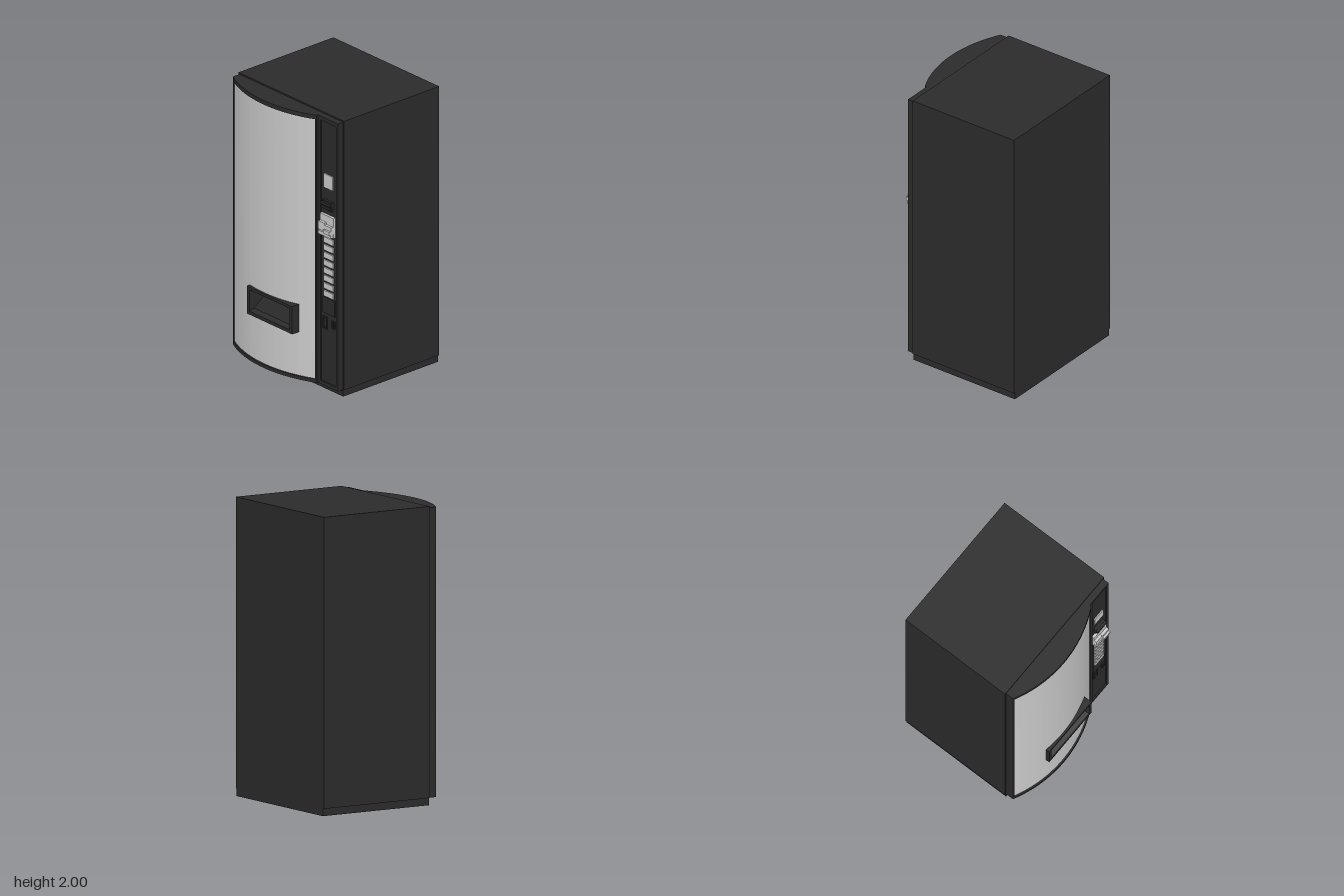
import * as THREE from 'three';
import { toCreasedNormals } from 'three/addons/utils/BufferGeometryUtils.js';

const dark = new THREE.MeshStandardMaterial({ color: 0x2b2b2b });
const grey = new THREE.MeshStandardMaterial({ color: 0xcccccc });
const chuteMat = new THREE.MeshStandardMaterial({ color: 0x2b2b2b, flatShading: true, side: THREE.DoubleSide });

export function createModel() {
  const root = new THREE.Group();
  root.name = 'vendingMachine';

  const add = (name, geometry, material, parent = root) => {
    const mesh = new THREE.Mesh(geometry, material);
    mesh.name = name;
    parent.add(mesh);
    return mesh;
  };
  const group = (name) => {
    const g = new THREE.Group();
    g.name = name;
    root.add(g);
    return g;
  };
  // Box given by its limits on each axis
  const box = (name, [x0, x1], [y0, y1], [z0, z1], material = dark, parent = root) => {
    const g = new THREE.BoxGeometry(x1 - x0, y1 - y0, z1 - z0);
    g.translate((x0 + x1) / 2, (y0 + y1) / 2, (z0 + z1) / 2);
    return add(name, g, material, parent);
  };
  // Rectangular frame with a rectangular opening
  const frame = (name, [x0, x1], [y0, y1], [z0, z1], [l, r, b, t], parent = root, material = dark) => {
    const rect = (C, a, c, d, e) => {
      const p = new C();
      p.moveTo(a, d); p.lineTo(c, d); p.lineTo(c, e); p.lineTo(a, e); p.closePath();
      return p;
    };
    const shape = rect(THREE.Shape, x0, x1, y0, y1);
    shape.holes.push(rect(THREE.Path, x0 + l, x1 - r, y0 + b, y1 - t));
    const g = new THREE.ExtrudeGeometry(shape, { depth: z1 - z0, bevelEnabled: false });
    return add(name, g.translate(0, 0, z0), material, parent);
  };
  // Bowed front: circular arc in plan, peaking at x = -0.1
  const bow = (x) => -0.4 + Math.sqrt(0.81 - (x + 0.1) ** 2);
  const bowedSlab = (name, [x0, x1], [y0, y1], inset, material, parent) => {
    const shape = new THREE.Shape();
    const n = Math.max(2, Math.round((x1 - x0) / 0.035));
    shape.moveTo(x0, -0.38);
    for (let i = 0; i <= n; i++) {
      const x = x0 + (x1 - x0) * i / n;
      shape.lineTo(x, -(bow(x) - inset));
    }
    shape.lineTo(x1, -0.38);
    shape.closePath();
    const g = new THREE.ExtrudeGeometry(shape, { depth: y1 - y0, bevelEnabled: false });
    g.rotateX(-Math.PI / 2).translate(0, y0, 0);
    return add(name, toCreasedNormals(g, 0.4), material, parent);
  };

  // Cabinet and plinth
  box('cabinet', [-0.525, 0.525], [0.05, 2], [-0.5, 0.34]);
  box('plinth', [-0.515, 0.515], [0, 0.05], [-0.5, 0.34]);

  // Door: backing plate, bowed caps and edge posts
  const door = group('door');
  box('doorPlate', [-0.515, 0.515], [0.05, 1.99], [0.34, 0.377], dark, door);
  box('doorBacking', [-0.515, 0.33], [0.05, 1.99], [0.377, 0.385], dark, door);
  bowedSlab('topCap', [-0.515, 0.315], [1.96, 1.99], 0, dark, door);
  bowedSlab('bottomCap', [-0.515, 0.315], [0.05, 0.075], 0, dark, door);
  bowedSlab('leftPost', [-0.515, -0.505], [0.075, 1.96], 0, dark, door);
  bowedSlab('rightPost', [0.305, 0.315], [0.075, 1.96], 0, dark, door);

  // Bowed front panel, divided around the delivery opening
  const panel = group('frontPanel');
  const holeX = [-0.25, 0.18], holeY = [0.4, 0.58];
  bowedSlab('panelLeft', [-0.505, holeX[0]], [0.075, 1.96], 0.011, grey, panel);
  bowedSlab('panelRight', [holeX[1], 0.305], [0.075, 1.96], 0.011, grey, panel);
  bowedSlab('panelAbove', holeX, [holeY[1], 1.96], 0.011, grey, panel);
  bowedSlab('panelBelow', holeX, [0.075, holeY[0]], 0.011, grey, panel);

  // Delivery opening: frame and tapering chute
  const delivery = group('deliveryOpening');
  frame('deliveryFrame', [-0.26, 0.19], [0.39, 0.59], [0.43, 0.502], [0.025, 0.025, 0.025, 0.02], delivery);
  const front = [[-0.235, 0.415, 0.495], [0.165, 0.415, 0.495], [0.165, 0.57, 0.495], [-0.235, 0.57, 0.495]];
  const back = [[-0.23, 0.428, 0.465], [0.16, 0.428, 0.465], [0.1, 0.563, 0.395], [-0.165, 0.563, 0.395]];
  const points = [];
  const quad = (a, b, c, d) => points.push(...a, ...b, ...c, ...a, ...c, ...d);
  for (let i = 0; i < 4; i++) {
    const j = (i + 1) % 4;
    quad(front[i], front[j], back[j], back[i]);
  }
  quad(...back);
  const chute = new THREE.BufferGeometry();
  chute.setAttribute('position', new THREE.Float32BufferAttribute(points, 3));
  chute.computeVertexNormals();
  add('deliveryChute', chute, chuteMat, delivery);

  // Control column
  const controls = group('controlColumn');
  frame('controlFrame', [0.315, 0.515], [0.05, 1.99], [0.377, 0.386], [0.028, 0.02, 0.025, 0.027], controls);
  box('display', [0.37, 0.46], [1.485, 1.585], [0.377, 0.385], grey, controls);

  // Card slot
  box('cardSlotBody', [0.37, 0.463], [1.335, 1.4], [0.377, 0.395], dark, controls);
  box('cardSlotUpperLip', [0.37, 0.463], [1.373, 1.392], [0.395, 0.412], dark, controls);
  box('cardSlotLowerLip', [0.375, 0.458], [1.345, 1.363], [0.395, 0.406], dark, controls);

  // Banknote reader
  box('noteReaderPlate', [0.348, 0.482], [1.15, 1.295], [0.377, 0.396], grey, controls);
  box('noteReaderLeftBlock', [0.35, 0.412], [1.185, 1.245], [0.396, 0.415], grey, controls);
  box('noteReaderRightBlock', [0.415, 0.48], [1.18, 1.232], [0.396, 0.416], grey, controls);
  box('noteReaderRightLip', [0.415, 0.478], [1.18, 1.205], [0.416, 0.431], grey, controls);
  box('noteReaderTray', [0.352, 0.478], [1.155, 1.18], [0.396, 0.42], grey, controls);

  // Selection buttons
  for (let i = 0; i < 8; i++) {
    const y = 1.107 - i * 0.0555;
    box('selectionButton' + (i + 1), [0.37, 0.465], [y - 0.02, y + 0.02], [0.377, 0.386], grey, controls);
  }

  // Coin plate, coin slot and coin return
  box('coinPlate', [0.358, 0.48], [0.575, 0.69], [0.377, 0.384], dark, controls);
  frame('coinReturn', [0.36, 0.402], [0.46, 0.55], [0.377, 0.385], [0.007, 0.007, 0.01, 0.01], controls);
  frame('coinSlot', [0.448, 0.478], [0.485, 0.54], [0.377, 0.385], [0.007, 0.007, 0.008, 0.008], controls);

  return root;
}
